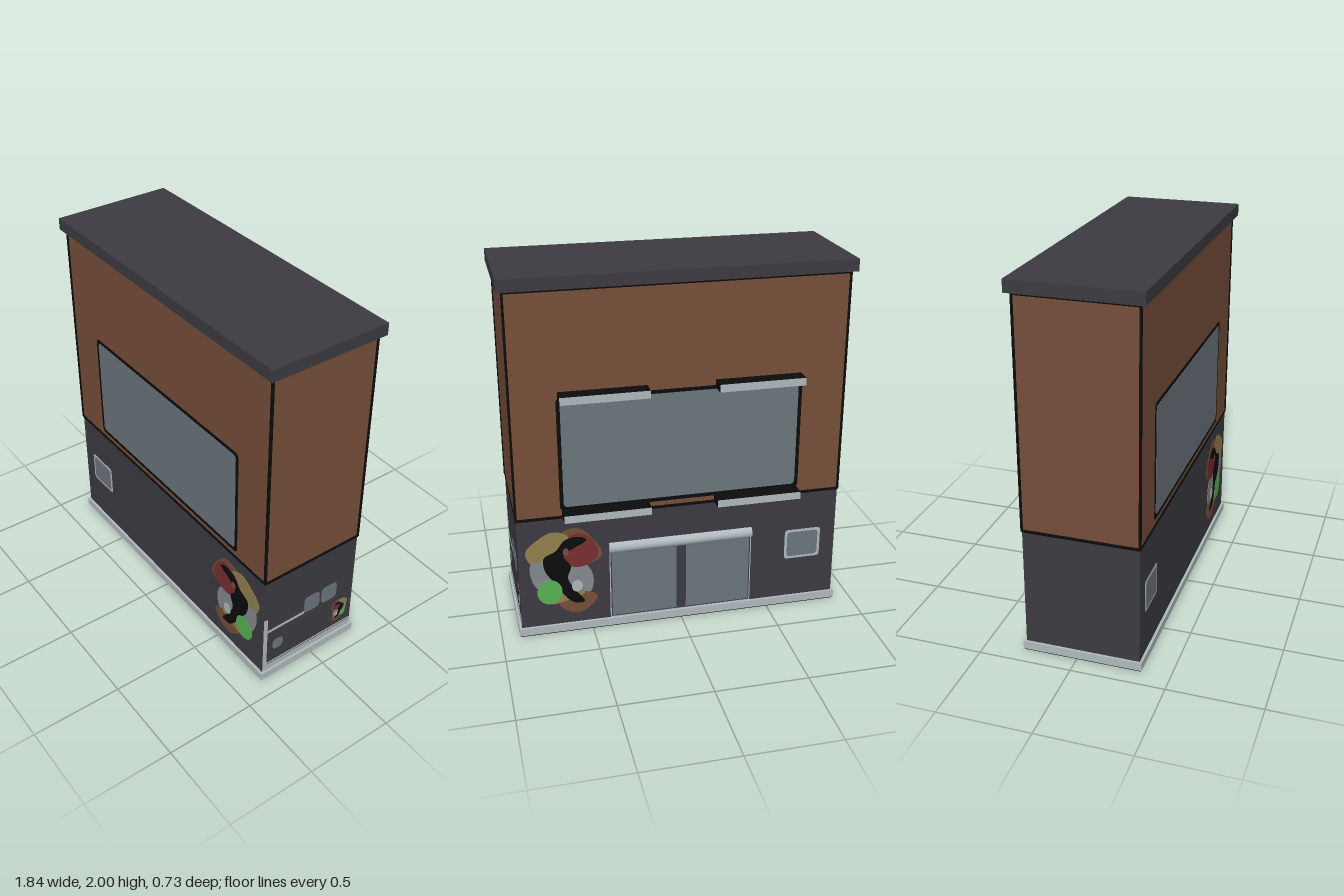
import * as THREE from 'three';

const mat = (name, color) => {
  const m = new THREE.MeshStandardMaterial({ color, side: THREE.DoubleSide });
  m.name = name;
  return m;
};

export function createModel() {
  const brick = mat('brick brown', 0x774f3a), dark = mat('dark panel', 0x3d3b42);
  const glass = mat('glass grey', 0x6c767d), trim = mat('pale trim', 0xb0babe);
  const black = mat('black edging', 0x0c0c0c), red = mat('paint red', 0x782e2f);
  const olive = mat('paint ochre', 0x93814f), green = mat('paint green', 0x58b456);
  const grey = mat('paint grey', 0x85898f);

  const root = new THREE.Group();
  root.name = 'kioskBuilding';
  const W = 0.89, ZF = 0.335, ZB = -0.28, ZC = (ZF + ZB) / 2, D = ZF - ZB, SPLIT = 0.7, TOP = 1.94;

  const add = (name, geo, material, parent = root, x = 0, y = 0, z = 0) => {
    const m = new THREE.Mesh(geo, material);
    m.name = name;
    m.position.set(x, y, z);
    parent.add(m);
    return m;
  };
  const box = (name, material, x0, x1, y0, y1, z0, z1) =>
    add(name, new THREE.BoxGeometry(x1 - x0, y1 - y0, z1 - z0), material, root,
      (x0 + x1) / 2, (y0 + y1) / 2, (z0 + z1) / 2);

  // Rounded rectangle and smooth blob outlines
  const rect = (x0, x1, y0, y1, r = 0.001) => {
    const s = new THREE.Shape();
    s.moveTo(x0 + r, y0);
    s.lineTo(x1 - r, y0); s.quadraticCurveTo(x1, y0, x1, y0 + r);
    s.lineTo(x1, y1 - r); s.quadraticCurveTo(x1, y1, x1 - r, y1);
    s.lineTo(x0 + r, y1); s.quadraticCurveTo(x0, y1, x0, y1 - r);
    s.lineTo(x0, y0 + r); s.quadraticCurveTo(x0, y0, x0 + r, y0);
    return s;
  };
  const blob = (pts) => new THREE.Shape(new THREE.CatmullRomCurve3(
    pts.map(([x, y]) => new THREE.Vector3(x, y, 0)), true).getPoints(48)
    .slice(0, -1).map((p) => new THREE.Vector2(p.x, p.y)));
  const oval = (x, y, rx, ry) => {
    const s = new THREE.Shape();
    s.absellipse(x, y, rx, ry, 0, Math.PI * 2);
    return s;
  };

  // Thin plate set through a wall so it shows inside and out; higher layers stand prouder
  const plate = (name, parent, shape, material, layer = 0) => {
    const depth = 0.003 + layer * 0.0008;
    const geo = new THREE.ExtrudeGeometry(shape, { depth, bevelEnabled: false, curveSegments: 10 });
    return add(name, geo, material, parent, 0, 0, -depth / 2);
  };

  // Hollow rectangular band around the building
  const ring = (name, material, out, inn, y, h) => {
    const s = rect(-W - out, W + out, -D / 2 - out, D / 2 + out);
    s.holes.push(rect(-W + inn, W - inn, -D / 2 + inn, D / 2 - inn));
    const geo = new THREE.ExtrudeGeometry(s, { depth: h, bevelEnabled: false }).rotateX(-Math.PI / 2);
    add(name, geo, material, root, 0, y, ZC);
  };

  // Walls, open underneath: dark lower storey, brick upper storey
  const walls = [['front', 2 * W, 0, ZF, 0], ['back', 2 * W, 0, ZB, Math.PI],
    ['left', D, W, ZC, Math.PI / 2], ['right', D, -W, ZC, -Math.PI / 2]];
  for (const [side, w, x, z, turn] of walls) {
    for (const [part, m, y0, y1] of [['LowerWall', dark, 0.03, SPLIT], ['UpperWall', brick, SPLIT, TOP]]) {
      add(side + part, new THREE.PlaneGeometry(w, y1 - y0), m, root, x, (y0 + y1) / 2, z).rotation.y = turn;
    }
  }

  // Roof slab, bands, skirt and corner edging
  box('roofSlab', dark, -0.92, 0.92, 1.935, 2, -0.31, 0.365);
  ring('eaveLine', black, 0.003, 0.003, 1.92, 0.015);
  ring('storeyLine', black, 0.003, 0.003, 0.693, 0.016);
  ring('baseSkirt', trim, 0.014, 0.004, 0.006, 0.044);
  ring('baseUnderside', black, 0.01, 0.012, 0, 0.007);
  for (const x of [-W, W]) for (const z of [ZB, ZF])
    box('cornerEdging', black, x - 0.006, x + 0.006, SPLIT, 1.93, z - 0.006, z + 0.006);

  // Painted splash of overlapping blobs
  const splash = (parent) => {
    const g = new THREE.Group();
    g.name = 'paintSplash';
    parent.add(g);
    const layers = [
      [brick, blob([[0.44, 0.45], [0.5, 0.57], [0.57, 0.625], [0.66, 0.6], [0.66, 0.42], [0.53, 0.4]])],
      [olive, blob([[0.62, 0.58], [0.7, 0.615], [0.78, 0.58], [0.85, 0.51], [0.82, 0.43], [0.74, 0.41], [0.64, 0.47]])],
      [grey, blob([[0.7, 0.42], [0.82, 0.44], [0.83, 0.37], [0.79, 0.28], [0.7, 0.29]])],
      [grey, blob([[0.49, 0.32], [0.53, 0.4], [0.63, 0.4], [0.66, 0.3], [0.6, 0.22], [0.51, 0.23]])],
      [brick, blob([[0.47, 0.2], [0.53, 0.235], [0.64, 0.23], [0.68, 0.17], [0.6, 0.11], [0.52, 0.13]])],
      [olive, blob([[0.54, 0.23], [0.6, 0.28], [0.7, 0.24], [0.72, 0.18], [0.64, 0.19]])],
      [red, blob([[0.46, 0.46], [0.5, 0.56], [0.57, 0.595], [0.63, 0.56], [0.65, 0.47], [0.61, 0.4], [0.52, 0.4]])],
      [black, blob([[0.52, 0.55], [0.57, 0.575], [0.64, 0.56], [0.69, 0.5], [0.755, 0.465], [0.75, 0.385],
        [0.71, 0.32], [0.66, 0.24], [0.6, 0.175], [0.54, 0.175], [0.59, 0.25], [0.63, 0.33], [0.61, 0.4], [0.65, 0.47]])],
      [green, oval(0.73, 0.255, 0.068, 0.075)],
      [trim, oval(0.58, 0.275, 0.03, 0.035)],
      [brick, oval(0.635, 0.49, 0.016, 0.024)],
    ];
    layers.forEach(([m, shape], i) => plate('paintBlob', g, shape, m, i * 0.7));
    return g;
  };

  // Front and back share the big window, the small window and the splash
  const faces = {};
  for (const [side, z] of [['front', ZF], ['back', ZB]]) {
    const g = faces[side] = new THREE.Group();
    g.name = side + 'Details';
    g.position.z = z;
    root.add(g);
    plate('windowFrame', g, rect(-0.655, 0.655, 0.735, 1.37, 0.03), black);
    plate('windowGlass', g, rect(-0.635, 0.635, 0.757, 1.35, 0.025), glass, 3);
    plate('smallWindowFrame', g, rect(-0.805, -0.597, 0.288, 0.468, 0.02), trim);
    plate('smallWindowGlass', g, rect(-0.79, -0.612, 0.303, 0.453, 0.02), glass, 3);
    splash(g);
  }

  // Double door with a roller housing at the back
  const back = faces.back;
  plate('doorFrame', back, rect(-0.4, 0.4, 0.03, 0.5), trim);
  plate('doorPanel', back, rect(-0.394, 0.394, 0.056, 0.5), dark, 2);
  for (const s of [-1, 1])
    plate('doorGlass', back, rect(Math.min(s * 0.027, s * 0.388), Math.max(s * 0.027, s * 0.388), 0.062, 0.47), glass, 4);
  add('doorRoller', new THREE.CylinderGeometry(0.036, 0.036, 0.8, 20).rotateZ(Math.PI / 2), trim, back, 0, 0.482, 0.014);

  // Back window ledges: black bars with a pale outer face
  for (const s of [-1, 1]) for (const y of [0.723, 1.38])
    add('windowLedge', new THREE.BoxGeometry(0.465, 0.042, 0.085),
      [black, black, black, black, black, trim], root, s * 0.413, y, -0.3225);

  // Graphics on the left wall; local x runs towards the back
  const sideArt = new THREE.Group();
  sideArt.name = 'leftDetails';
  sideArt.position.x = W;
  sideArt.rotation.y = Math.PI / 2;
  root.add(sideArt);
  plate('verticalStripe', sideArt, rect(-0.333, -0.308, 0.05, 0.43), trim, 1);
  plate('middleStripe', sideArt, rect(-0.31, -0.06, 0.328, 0.345), trim);
  plate('lowerStripe', sideArt, rect(-0.31, 0.278, 0.05, 0.086), trim);
  plate('thinStripe', sideArt, rect(-0.31, 0.278, 0.093, 0.102), trim);
  plate('sidePane', sideArt, rect(-0.062, 0.042, 0.328, 0.437, 0.03), glass, 2);
  plate('sidePane', sideArt, rect(0.056, 0.162, 0.328, 0.437, 0.03), glass, 2);
  plate('sideSpot', sideArt, rect(-0.27, -0.2, 0.18, 0.25, 0.03), glass);
  const small = splash(sideArt);
  small.scale.set(0.28, 0.29, 1);
  small.position.set(0.014, 0.103, 0);

  return root;
}
